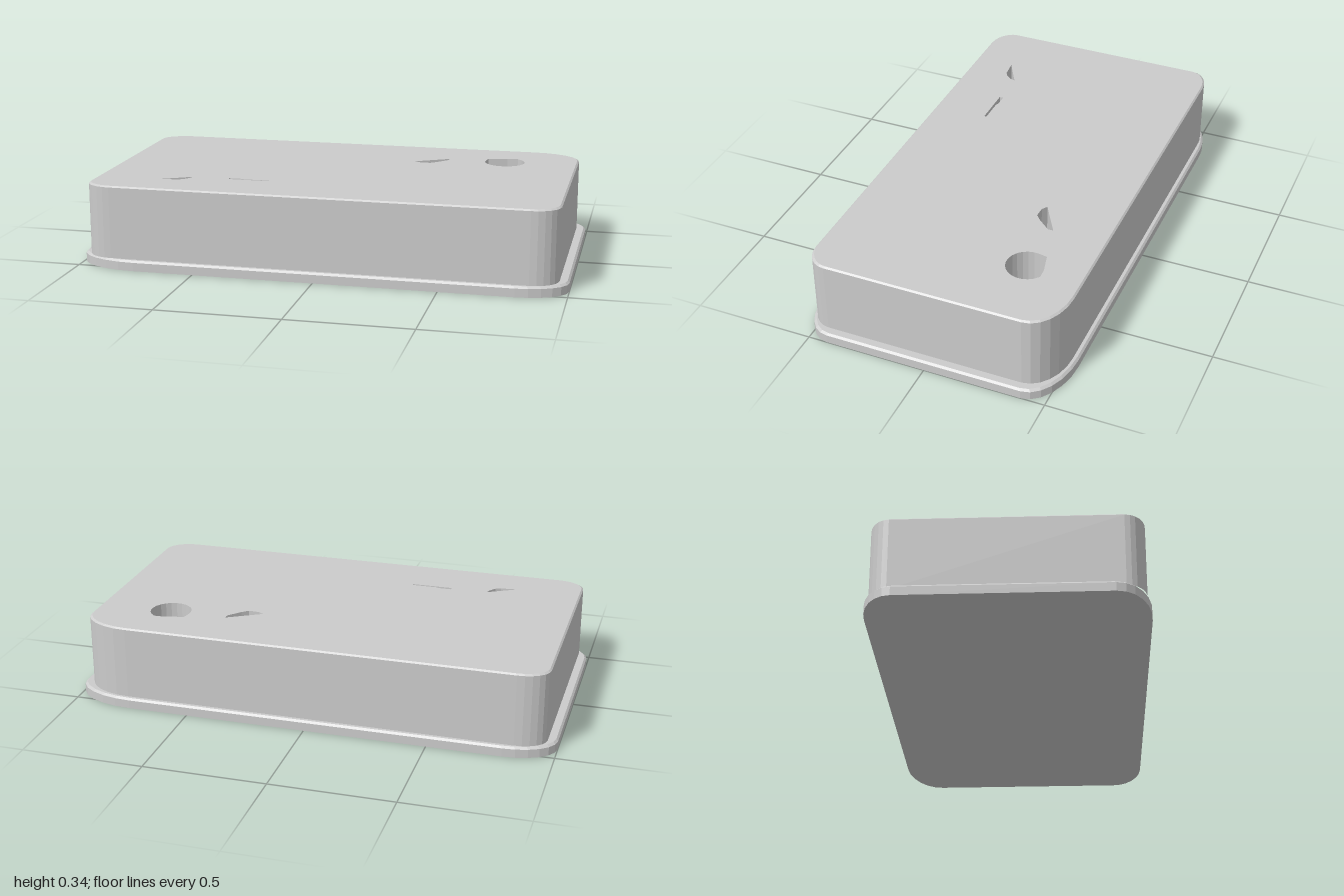
import * as THREE from 'three';

const material = new THREE.MeshStandardMaterial({ color: 0xcccccc, flatShading: true });

// Rounded rectangle, counter-clockwise seen from above; plan coordinates are (x, -z).
// Corners: [rx, rz] in order right-back, left-back, left-front, right-front.
function outline(hx, hz, corners, steps = 6) {
  const points = [];
  corners.forEach(([rx, rz], k) => {
    const sx = k === 0 || k === 3 ? 1 : -1;
    const sy = k < 2 ? 1 : -1;
    for (let i = 0; i <= steps; i++) {
      const a = (k + i / steps) * Math.PI / 2;
      points.push(new THREE.Vector2(sx * (hx - rx) + rx * Math.cos(a), sy * (hz - rz) + rz * Math.sin(a)));
    }
  });
  return points;
}

// Shrinks an outline inwards by d on every side
function inset(points, hx, hz, d) {
  return points.map(p => new THREE.Vector2(p.x * (1 - d / hx), p.y * (1 - d / hz)));
}

// Wall through a stack of [points, height] rings
function wall(name, rings) {
  const pos = [];
  const index = [];
  const n = rings[0][0].length;
  rings.forEach(([points, y]) => points.forEach(p => pos.push(p.x, y, -p.y)));
  for (let r = 0; r < rings.length - 1; r++) {
    for (let i = 0; i < n; i++) {
      const a = r * n + i;
      const b = r * n + (i + 1) % n;
      index.push(a, b, b + n, a, b + n, a + n);
    }
  }
  const geo = new THREE.BufferGeometry();
  geo.setAttribute('position', new THREE.Float32BufferAttribute(pos, 3));
  geo.setIndex(index);
  geo.computeVertexNormals();
  const mesh = new THREE.Mesh(geo, material);
  mesh.name = name;
  return mesh;
}

// Flat horizontal face, optionally pierced
function face(name, points, y, holes = [], down = false) {
  const shape = new THREE.Shape(points);
  holes.forEach(h => shape.holes.push(new THREE.Path(h)));
  const geo = new THREE.ShapeGeometry(shape);
  geo.rotateX(-Math.PI / 2);
  if (down) {
    geo.index.array.reverse();
    geo.computeVertexNormals();
  }
  const mesh = new THREE.Mesh(geo, material);
  mesh.position.y = y;
  mesh.name = name;
  return mesh;
}

// Hole outline from [x, z] pairs, wound clockwise so its wall faces inwards
function hole(pairs) {
  const points = pairs.map(([x, z]) => new THREE.Vector2(x, -z));
  return THREE.ShapeUtils.isClockWise(points) ? points : points.reverse();
}

export function createModel() {
  const group = new THREE.Group();
  const flangeTop = 0.043;
  const top = 0.345;

  // Base flange with a chamfered upper edge
  const flange = outline(1, 0.541, [[0.25, 0.14], [0.2, 0.12], [0.25, 0.14], [0.2, 0.12]]);
  const flangeRim = inset(flange, 1, 0.541, 0.008);
  group.add(
    face('flangeBottom', flange, 0, [], true),
    wall('flangeSide', [[flange, 0], [flange, 0.035], [flangeRim, flangeTop]]),
    face('flangeTop', flangeRim, flangeTop)
  );

  // Openings in the top: round hole with a flattened back, two slivers and a slot
  const round = [[0.575, -0.335], [0.655, -0.355], [0.7, -0.357]];
  for (let i = 0; i <= 16; i++) {
    const a = -0.95 + i / 16 * 4.3;
    round.push([0.652 + 0.085 * Math.cos(a), -0.285 + 0.085 * Math.sin(a)]);
  }
  const holes = {
    roundHole: hole(round),
    backSliver: hole([[0.41, -0.295], [0.272, -0.215], [0.295, -0.2], [0.34, -0.198], [0.365, -0.22], [0.41, -0.272]]),
    frontSliver: hole([[-0.57, 0.285], [-0.69, 0.352], [-0.62, 0.345], [-0.598, 0.335], [-0.577, 0.307]]),
    slot: hole([[-0.415, 0.275], [-0.36, 0.275], [-0.35, 0.281], [-0.245, 0.281], [-0.245, 0.291], [-0.415, 0.291]])
  };

  // Body with a fine chamfer around the top
  const body = outline(0.962, 0.52, [[0.2, 0.13], [0.12, 0.08], [0.11, 0.08], [0.11, 0.09]]);
  const bodyRim = inset(body, 0.962, 0.52, 0.007);
  group.add(
    wall('bodySide', [[body, flangeTop], [body, top - 0.006], [bodyRim, top]]),
    face('bodyTop', bodyRim, top, Object.values(holes))
  );
  for (const [name, points] of Object.entries(holes)) {
    group.add(wall(name, [[points, flangeTop], [points, top]]));
  }
  return group;
}
